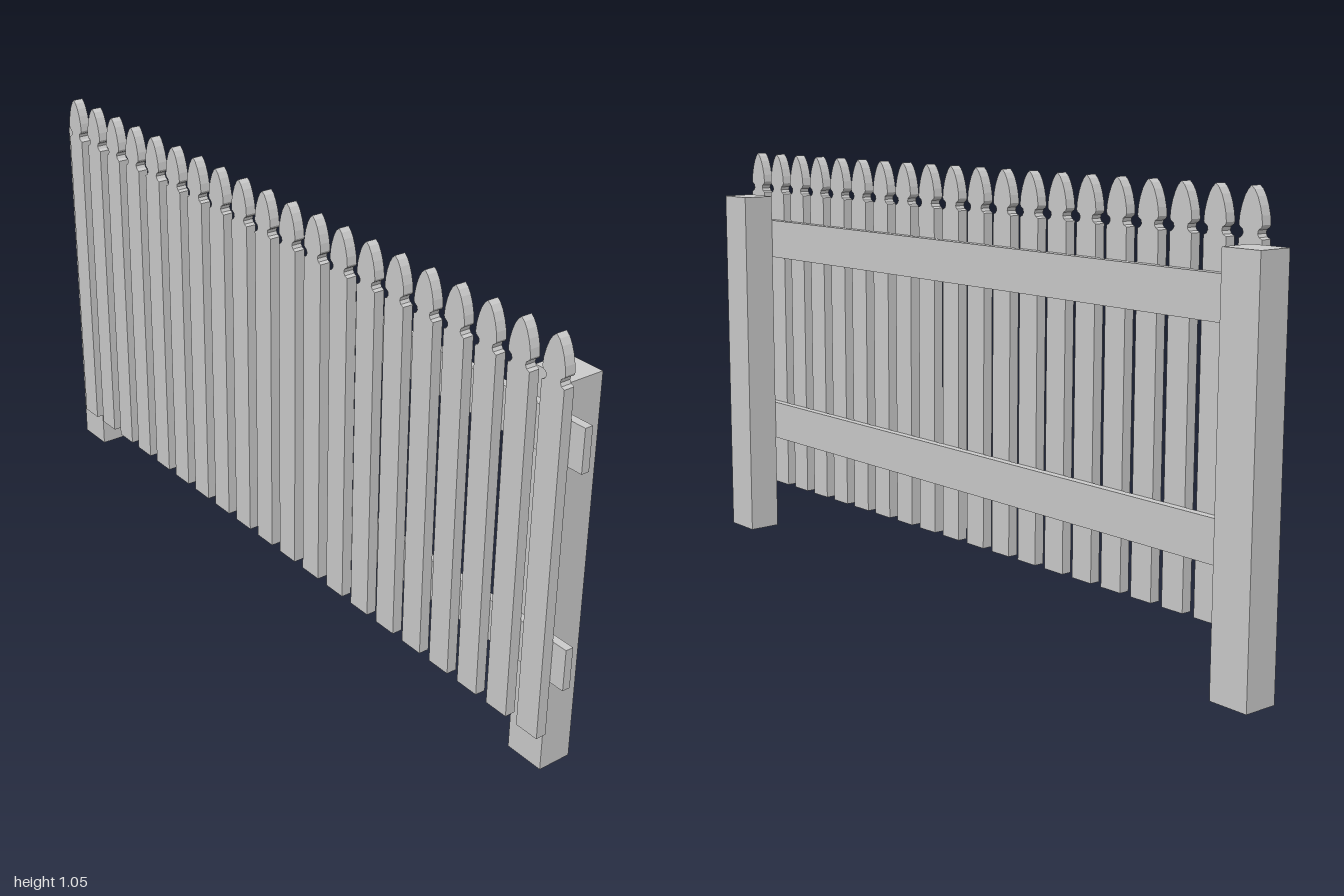
import * as THREE from 'three';

const material = new THREE.MeshStandardMaterial({ color: 0xcccccc, flatShading: true });

// Box given by its lower and upper limits on each axis
function box(name, [x0, x1], [y0, y1], [z0, z1]) {
  const mesh = new THREE.Mesh(new THREE.BoxGeometry(x1 - x0, y1 - y0, z1 - z0), material);
  mesh.name = name;
  mesh.position.set((x0 + x1) / 2, (y0 + y1) / 2, (z0 + z1) / 2);
  return mesh;
}

// Board with a notched neck and a pointed, arched head
function picketGeometry() {
  const half = [
    [0.031, 0.12], [0.031, 0.94], [0.023, 0.944], [0.019, 0.951], [0.021, 0.959],
    [0.029, 0.964], [0.031, 0.969], [0.029, 0.988], [0.024, 1.008],
    [0.017, 1.026], [0.009, 1.039],
  ];
  const outline = [
    ...half,
    [0, 1.047],
    ...half.map(([x, y]) => [-x, y]).reverse(),
  ].map(([x, y]) => new THREE.Vector2(x, y));
  return new THREE.ExtrudeGeometry(new THREE.Shape(outline), { depth: 0.026, bevelEnabled: false });
}

export function createModel() {
  const fence = new THREE.Group();
  fence.name = 'picketFence';

  // Posts behind the rails
  fence.add(box('rightPost', [-1, -0.9], [0, 0.933], [-0.065, 0.02]));
  fence.add(box('leftPost', [0.835, 0.935], [0, 0.933], [-0.065, 0.02]));

  // Horizontal rails
  fence.add(box('lowerRail', [-0.94, 1], [0.255, 0.356], [0.02, 0.04]));
  fence.add(box('upperRail', [-0.94, 1], [0.766, 0.867], [0.02, 0.04]));

  // Evenly spaced pickets on the front of the rails
  const geometry = picketGeometry();
  const count = 20, first = -0.88, last = 0.931;
  for (let i = 0; i < count; i++) {
    const picket = new THREE.Mesh(geometry, material);
    picket.name = `picket${i + 1}`;
    picket.position.set(first + ((last - first) * i) / (count - 1), 0, 0.04);
    fence.add(picket);
  }
  return fence;
}
